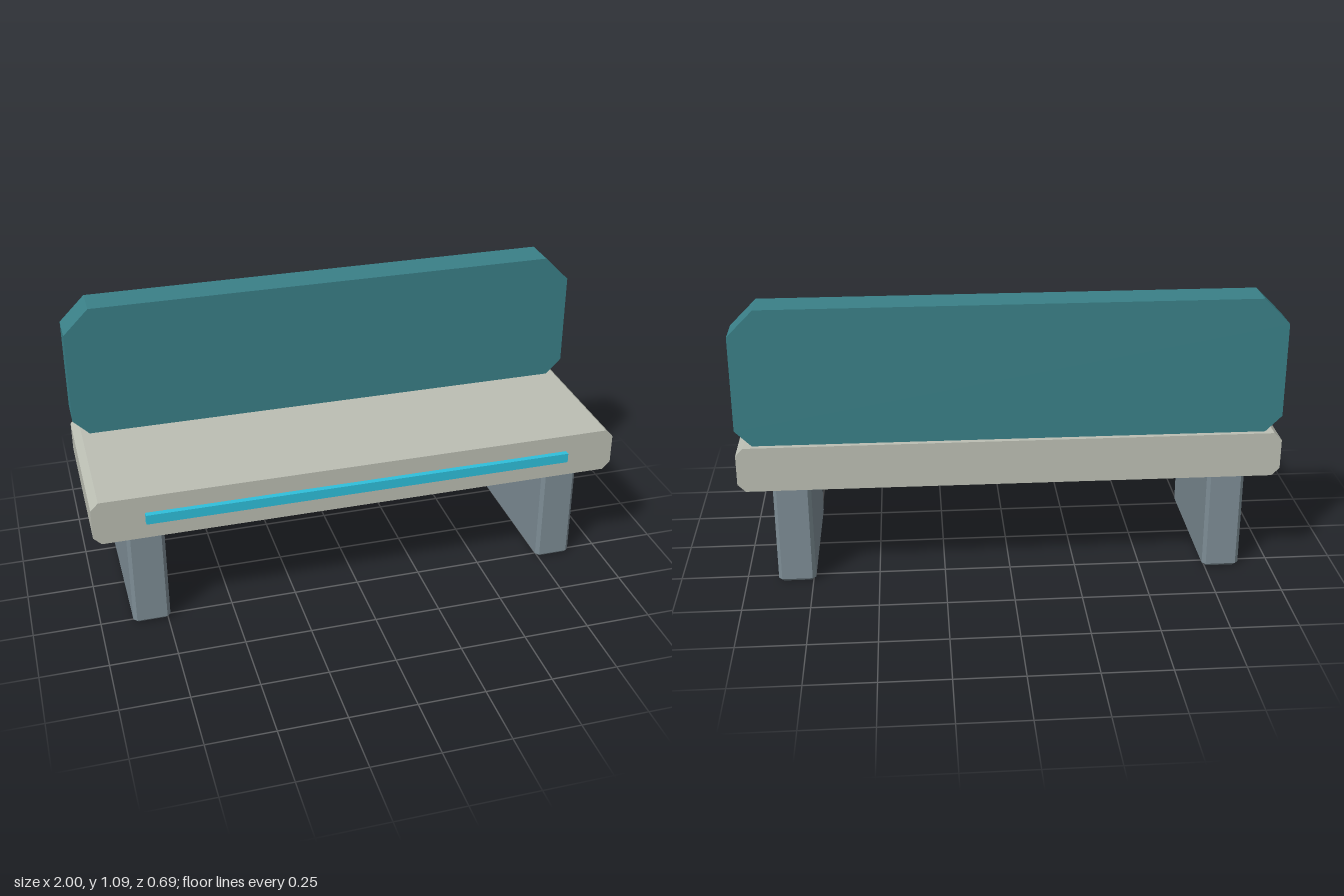
import * as THREE from 'three';

// Rectangle outline with cut corners: `low` at the bottom, `high` at the top
function cutRect(x0, x1, y0, y1, low, high = low) {
  return new THREE.Shape([
    [x0 + low, y0], [x1 - low, y0], [x1, y0 + low], [x1, y1 - high],
    [x1 - high, y1], [x0 + high, y1], [x0, y1 - high], [x0, y0 + low],
  ].map(([x, y]) => new THREE.Vector2(x, y)));
}

function slab(shape, z0, z1) {
  return new THREE.ExtrudeGeometry(shape, { depth: z1 - z0, bevelEnabled: false }).translate(0, 0, z0);
}

function part(name, geometry, color) {
  const mesh = new THREE.Mesh(geometry, new THREE.MeshStandardMaterial({ color }));
  mesh.name = name;
  return mesh;
}

export function createModel() {
  const bench = new THREE.Group();
  bench.name = 'bench';

  // Seat and backrest: chamfered outlines extruded front to back
  bench.add(part('seat', slab(cutRect(-1, 1, 0.402, 0.573, 0.029), -0.343, 0.322), 0xbcbfb4));
  bench.add(part('backrest', slab(cutRect(-1, 1, 0.573, 1.087, 0.06, 0.097), -0.323, -0.19), 0x3a8088));

  // Light strip along the front edge of the seat
  const strip = part('frontStrip', new THREE.BoxGeometry(1.62, 0.037, 0.021), 0x2fc0dc);
  strip.position.set(0, 0.488, 0.3325);
  bench.add(strip);

  // Two slab legs, bevelled all round, with tops sunk into the seat
  const bevel = 0.013;
  const legGeometry = new THREE.ExtrudeGeometry(cutRect(-0.07, 0.07, -0.294, 0.294, bevel), {
    depth: 0.402, bevelThickness: bevel, bevelSize: bevel, bevelOffset: -bevel, bevelSegments: 1,
  }).rotateX(-Math.PI / 2);
  for (const [name, side] of [['leftLeg', 1], ['rightLeg', -1]]) {
    const leg = part(name, legGeometry, 0x7d8d95);
    leg.position.set(side * 0.81, bevel, -0.011);
    bench.add(leg);
  }
  return bench;
}
